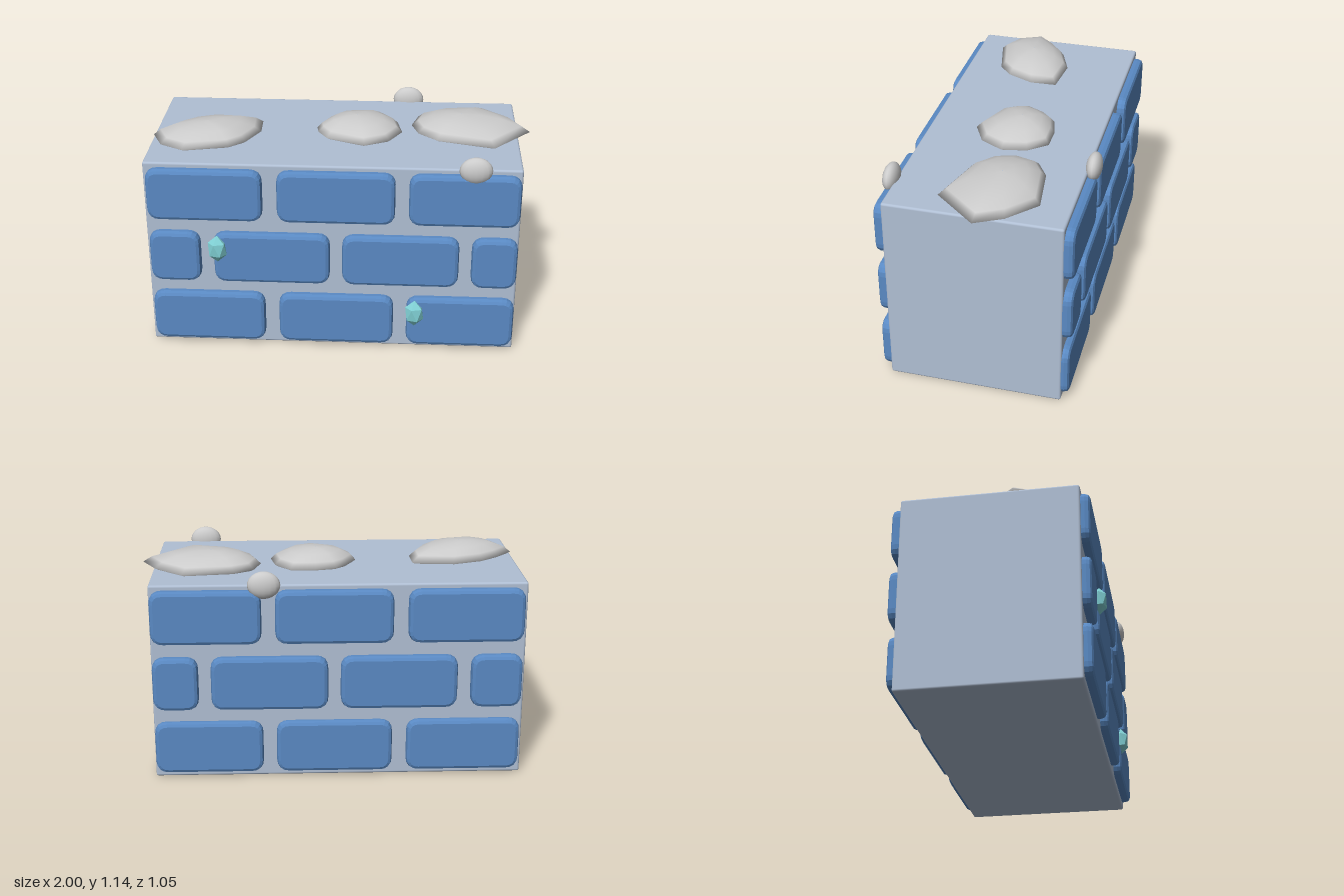
import * as THREE from 'three';
import { RoundedBoxGeometry } from 'three/addons/geometries/RoundedBoxGeometry.js';

const material = (color, flatShading = false) => new THREE.MeshStandardMaterial({ color, flatShading });

function add(group, name, geometry, mat, x = 0, y = 0, z = 0) {
  const mesh = new THREE.Mesh(geometry, mat);
  mesh.name = name;
  mesh.position.set(x, y, z);
  group.add(mesh);
  return mesh;
}

// Rounded slab with a chamfered face, growing along +z from 0
function brickGeometry(w, h, depth) {
  const b = 0.02, r = 0.045, x = w / 2 - b, y = h / 2 - b;
  const s = new THREE.Shape();
  s.moveTo(-x + r, -y);
  s.lineTo(x - r, -y); s.quadraticCurveTo(x, -y, x, -y + r);
  s.lineTo(x, y - r); s.quadraticCurveTo(x, y, x - r, y);
  s.lineTo(-x + r, y); s.quadraticCurveTo(-x, y, -x, y - r);
  s.lineTo(-x, -y + r); s.quadraticCurveTo(-x, -y, -x + r, -y);
  const g = new THREE.ExtrudeGeometry(s, {
    depth: depth - 0.025, bevelThickness: 0.025, bevelSize: b, bevelSegments: 2, curveSegments: 4,
  });
  return g;
}

// Low smooth stone: an [x, z] outline lofted through shrinking rings
function stoneGeometry(outline, cx, cz) {
  const rings = [[1.015, 0.01], [1.03, 0.8], [1.06, 1], [1.09, 0.87], [1.12, 0.6], [1.135, 0.28], [1.138, 0.01]];
  const n = outline.length, pos = [], idx = [];
  rings.forEach(([y, s]) => outline.forEach(([x, z]) => pos.push((x - cx) * s, y, (z - cz) * s)));
  for (let j = 0; j < rings.length - 1; j++) {
    for (let i = 0; i < n; i++) {
      const a = j * n + i, b = j * n + (i + 1) % n;
      idx.push(a, a + n, b, b, a + n, b + n);
    }
  }
  const g = new THREE.BufferGeometry();
  g.setAttribute('position', new THREE.Float32BufferAttribute(pos, 3));
  g.setIndex(idx);
  g.computeVertexNormals();
  return g;
}

export function createModel() {
  const model = new THREE.Group();
  model.name = 'brickWall';
  const mortar = material(0xb0bfd4), blue = material(0x5a8ac4);
  const stone = material(0xcccccc), cyan = material(0x80d0d4, true);

  // Core block
  add(model, 'wallCore', new RoundedBoxGeometry(1.93, 1.05, 0.905, 2, 0.012), mortar, -0.035, 0.525, -0.0075);

  // Staggered brick courses on front and back
  const wide = [[-0.985, -0.39], [-0.315, 0.29], [0.36, 0.925]];
  const staggered = [[-0.985, -0.72], [-0.65, -0.045], [0.02, 0.625], [0.69, 0.925]];
  const courses = [[0.03, 0.313, wide], [0.385, 0.67, staggered], [0.742, 1.025, wide]];
  courses.forEach(([y0, y1, spans], row) => spans.forEach(([x0, x1]) => {
    const x = (x0 + x1) / 2, y = (y0 + y1) / 2;
    add(model, 'frontBrick', brickGeometry(x1 - x0, y1 - y0, 0.06), blue, x, y, 0.43);
    const back = add(model, 'backBrick', brickGeometry(x1 - x0, y1 - y0, row ? 0.065 : 0.055), blue, x, y, -0.442);
    back.rotation.y = Math.PI;
  }));

  // Flat stones on top, outlines running counterclockwise seen from below
  const stones = [
    [[-1, 0.11], [-0.92, 0.02], [-0.82, -0.06], [-0.66, -0.12], [-0.44, -0.1], [-0.435, 0.04],
      [-0.5, 0.18], [-0.58, 0.25], [-0.82, 0.305], [-0.94, 0.24]],
    [[-0.14, -0.03], [-0.09, -0.13], [-0.03, -0.19], [0.08, -0.215], [0.21, -0.215], [0.29, -0.12],
      [0.315, 0.01], [0.25, 0.13], [0.12, 0.195], [-0.08, 0.11], [-0.13, 0.03]],
    [[0.365, -0.09], [0.4, -0.21], [0.5, -0.27], [0.77, -0.305], [0.92, -0.17], [0.995, -0.03],
      [0.8, 0.195], [0.5, 0.11], [0.4, 0.02]],
  ];
  for (const outline of stones) {
    const cx = outline.reduce((t, p) => t + p[0], 0) / outline.length;
    const cz = outline.reduce((t, p) => t + p[1], 0) / outline.length;
    add(model, 'topStone', stoneGeometry(outline, cx, cz), stone, cx, 0, cz);
  }

  // Pebbles on the upper edges
  for (const [x, z] of [[0.69, 0.467], [0.345, -0.482]]) {
    add(model, 'edgePebble', new THREE.SphereGeometry(1, 16, 12), stone, x, 1.055, z).scale.set(0.084, 0.071, 0.041);
  }

  // Faceted crystals on the front
  for (const [x, y] of [[-0.628, 0.587], [0.402, 0.23]]) {
    const g = new THREE.IcosahedronGeometry(1, 0).rotateZ(Math.atan(2 / (1 + Math.sqrt(5))));
    add(model, 'crystal', g, cyan, x, y, 0.49).scale.set(0.054, 0.076, 0.042);
  }
  return model;
}
